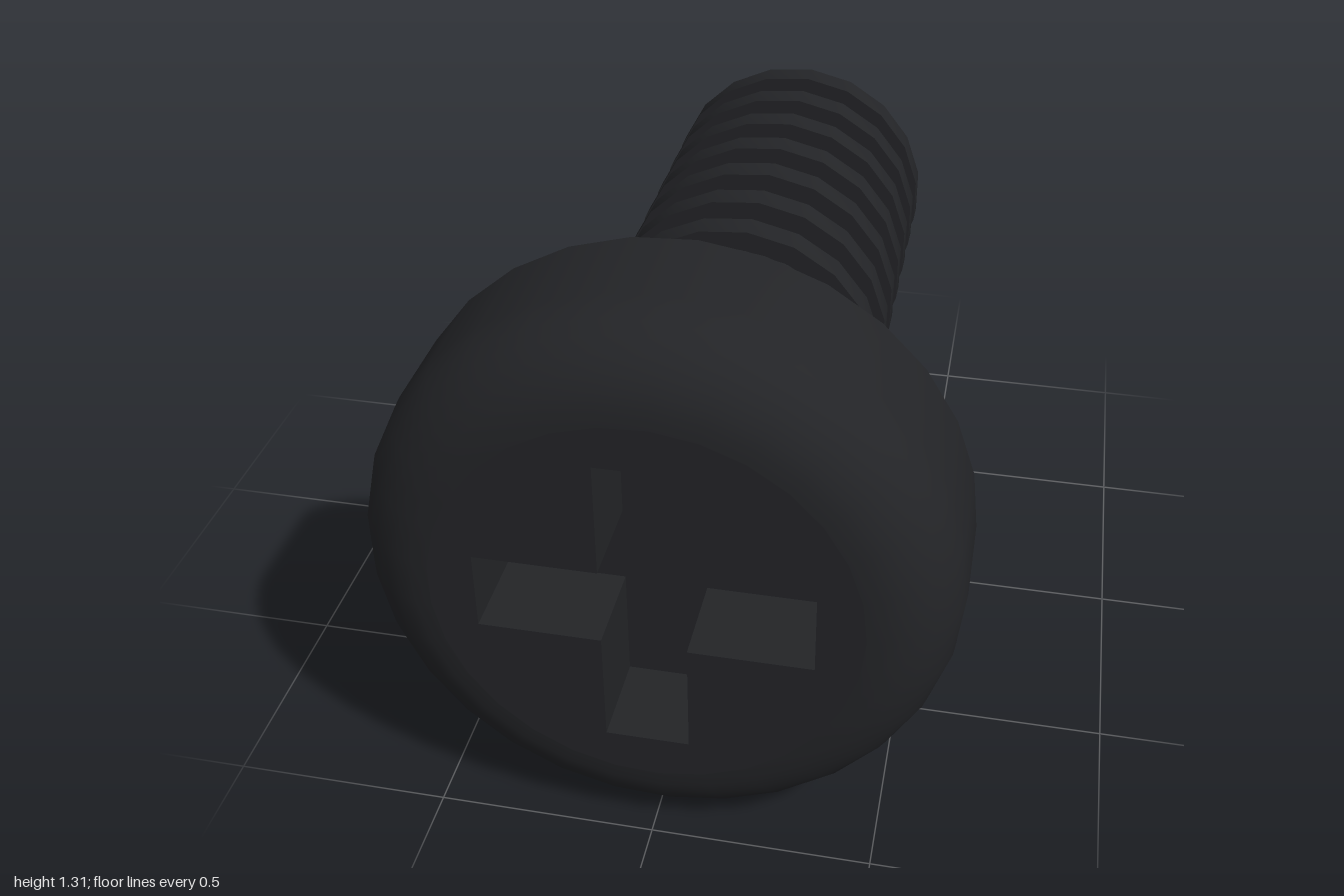
import * as THREE from 'three';
import { toCreasedNormals } from 'three/addons/utils/BufferGeometryUtils.js';

const AXIS_X = -0.002, AXIS_Y = 0.657;
const HEAD_R = 0.657, HEAD_BACK = 0.58, FILLET = 0.19, HEAD_SIDES = 29;
const SHAFT_R = 0.316, THREAD_R = 0.368, SHAFT_SIDES = 19;
const THREADS = 10, PITCH = 0.157, THREAD_WIDTH = 0.07;
const RECESS_DEPTH = 0.21, ARM = 0.363, ARM_HALF = 0.0925;

const material = new THREE.MeshStandardMaterial({ color: 0x232427 });

function part(name, geometry) {
  const mesh = new THREE.Mesh(geometry, material);
  mesh.name = name;
  return mesh;
}

// Profile of [radius, z] pairs, back to front, turned about the z axis
function turned(profile, sides, startAngle) {
  const points = profile.map(([r, z]) => new THREE.Vector2(r, z));
  const geometry = new THREE.LatheGeometry(points, sides, startAngle);
  geometry.rotateX(Math.PI / 2);
  return toCreasedNormals(geometry, Math.PI / 5);
}

function crossPoints() {
  const a = ARM, h = ARM_HALF;
  return [
    [a, -h], [a, h], [h, h], [h, a], [-h, a], [-h, h],
    [-a, h], [-a, -h], [-h, -h], [-h, -a], [h, -a], [h, -h],
  ].map(([x, y]) => new THREE.Vector2(x, y));
}

export function createModel() {
  const screw = new THREE.Group();
  screw.name = 'screw';
  screw.position.set(AXIS_X, AXIS_Y, 0);

  // Head: flat underside, straight wall and rounded front edge
  const faceR = HEAD_R - FILLET;
  const headProfile = [[0.3, HEAD_BACK], [HEAD_R, HEAD_BACK]];
  for (let i = 0; i <= 8; i++) {
    const t = (i / 8) * Math.PI / 2;
    headProfile.push([faceR + FILLET * Math.cos(t), 1 - FILLET + FILLET * Math.sin(t)]);
  }
  screw.add(part('head', turned(headProfile, HEAD_SIDES, Math.PI / 2)));

  // Front face with the cross cut through it; the hole's sides are the recess walls
  const face = new THREE.Shape();
  for (let i = 0; i < HEAD_SIDES; i++) {
    const t = (i / HEAD_SIDES) * Math.PI * 2;
    const x = faceR * Math.cos(t), y = faceR * Math.sin(t);
    if (i === 0) face.moveTo(x, y);
    else face.lineTo(x, y);
  }
  face.closePath();
  face.holes.push(new THREE.Path(crossPoints().reverse()));
  const faceGeometry = new THREE.ExtrudeGeometry(face, { depth: RECESS_DEPTH, bevelEnabled: false });
  faceGeometry.translate(0, 0, 1 - RECESS_DEPTH);
  screw.add(part('headFace', faceGeometry));

  // Floor of the cross recess
  const floor = new THREE.ShapeGeometry(new THREE.Shape(crossPoints()));
  floor.translate(0, 0, 1 - RECESS_DEPTH);
  screw.add(part('recessFloor', floor));

  // Shaft with square thread rings, closed at the back end
  const shaftProfile = [[0, -1]];
  for (let i = 0; i < THREADS; i++) {
    const z = -1 + i * PITCH;
    if (i > 0) shaftProfile.push([SHAFT_R, z]);
    shaftProfile.push([THREAD_R, z], [THREAD_R, z + THREAD_WIDTH], [SHAFT_R, z + THREAD_WIDTH]);
  }
  shaftProfile.push([SHAFT_R, HEAD_BACK]);
  screw.add(part('threadedShaft', turned(shaftProfile, SHAFT_SIDES, -Math.PI / 2)));

  const model = new THREE.Group();
  model.add(screw);
  return model;
}
